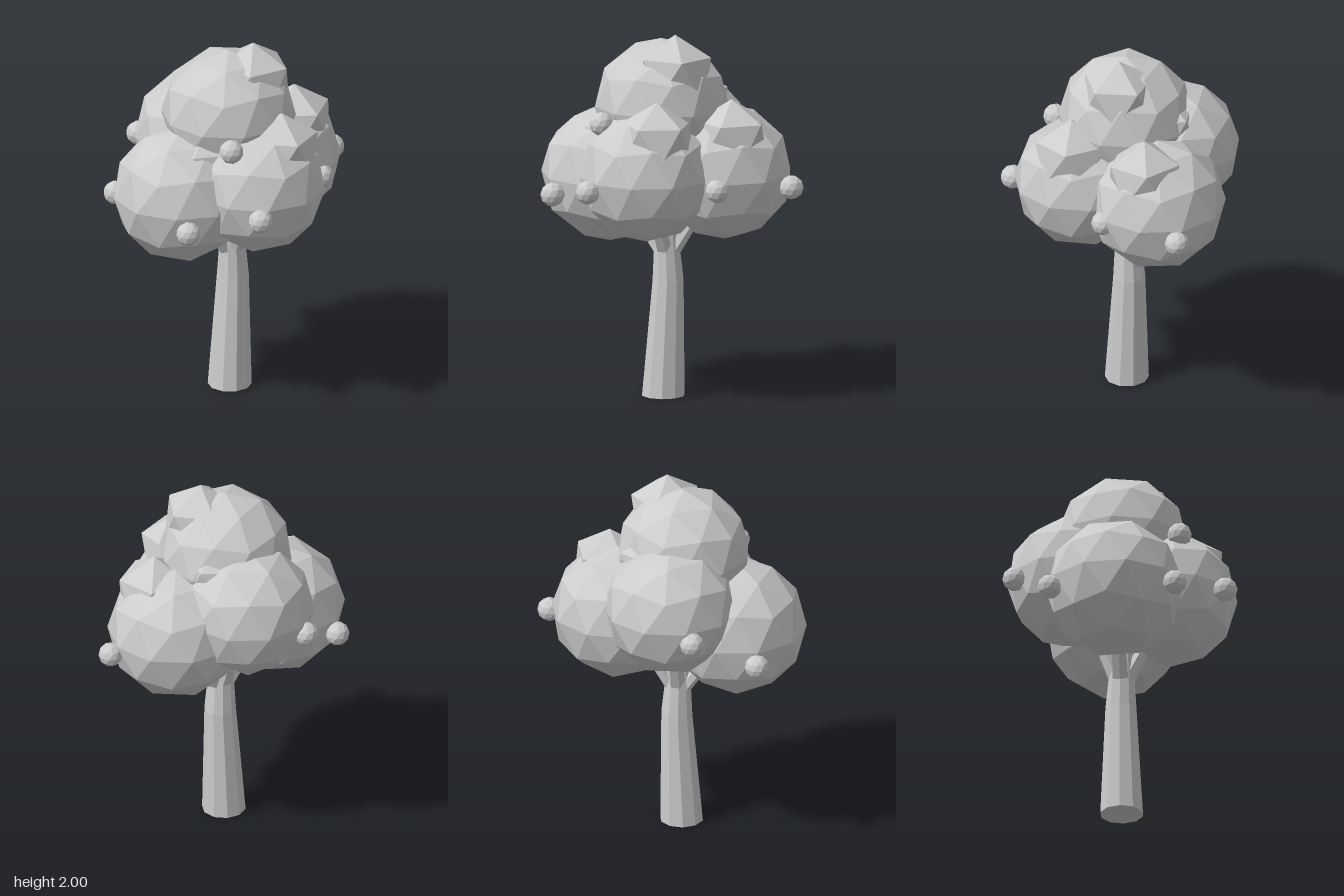
import * as THREE from 'three';

const clay = new THREE.MeshStandardMaterial({ color: 0xcccccc, flatShading: true });
clay.name = 'light grey';

// Icosphere with one corner pointing straight up, turned about y by an angle in degrees
function ico(name, radius, detail, turn, x, y, z) {
  const geo = new THREE.IcosahedronGeometry(radius, detail);
  geo.rotateZ(-Math.atan(2 / (1 + Math.sqrt(5))));
  geo.rotateY(-THREE.MathUtils.degToRad(turn));
  const mesh = new THREE.Mesh(geo, clay);
  mesh.name = name;
  mesh.position.set(x, y, z);
  return mesh;
}

// Closed tube through rings of [x, y, z, radius], with horizontal cross-sections
function taper(name, rings, sides) {
  const pos = [], idx = [];
  for (const [x, y, z, r] of rings) {
    for (let i = 0; i < sides; i++) {
      const a = (i / sides) * Math.PI * 2;
      pos.push(x + r * Math.cos(a), y, z + r * Math.sin(a));
    }
  }
  for (let k = 0; k < rings.length - 1; k++) {
    for (let i = 0; i < sides; i++) {
      const j = (i + 1) % sides;
      const a = k * sides + i, b = k * sides + j;
      idx.push(a, a + sides, b, b, a + sides, b + sides);
    }
  }
  const top = (rings.length - 1) * sides;
  for (let i = 1; i < sides - 1; i++) {
    idx.push(0, i, i + 1, top, top + i + 1, top + i);
  }
  const geo = new THREE.BufferGeometry();
  geo.setAttribute('position', new THREE.Float32BufferAttribute(pos, 3));
  geo.setIndex(idx);
  geo.computeVertexNormals();
  const mesh = new THREE.Mesh(geo, clay);
  mesh.name = name;
  return mesh;
}

// Foliage clumps: centre, radius, turn, centre of the angular tuft on top
const clumps = [
  { name: 'left', c: [0.275, 1.24, -0.08], r: 0.37, turn: 14, tuft: [0.356, 1.445, 0.016] },
  { name: 'right', c: [-0.36, 1.195, -0.02], r: 0.373, turn: 4, tuft: [-0.26, 1.385, 0.08] },
  { name: 'front', c: [-0.045, 1.255, 0.25], r: 0.36, turn: 27, tuft: [0.05, 1.465, 0.33] },
  { name: 'back', c: [-0.055, 1.38, -0.27], r: 0.362, turn: -28, tuft: [0.05, 1.565, -0.17] },
  { name: 'top', c: [-0.06, 1.595, -0.01], r: 0.363, turn: -14, tuft: [0.05, 1.783, 0.065] },
];

const fruits = [
  [-0.557, 1.125, 0.32], [-0.558, 1.125, -0.354], [-0.256, 1.21, 0.565],
  [0.367, 1.205, 0.25], [0.667, 1.185, -0.07], [-0.256, 1.32, -0.57],
  [-0.274, 1.535, 0.32],
];

export function createModel() {
  const tree = new THREE.Group();
  tree.name = 'tree';

  // Trunk, leaning slightly
  tree.add(taper('trunk', [
    [-0.05, 0, -0.012, 0.118],
    [-0.025, 0.63, -0.018, 0.086],
    [-0.035, 0.98, -0.01, 0.058],
    [-0.045, 1.3, -0.01, 0.045],
  ], 10));

  // Branches reaching into the outer clumps
  for (const { name, c } of clumps.slice(0, 4)) {
    const s = [-0.03, 0.74, -0.015];
    const at = (t) => s.map((v, i) => v + (c[i] - v) * t);
    tree.add(taper(name + 'Branch', [[...at(0), 0.05], [...at(0.7), 0.035]], 6));
  }

  // Foliage
  for (const { name, c, r, turn, tuft } of clumps) {
    tree.add(ico(name + 'Foliage', r, 1, turn, ...c));
    tree.add(ico(name + 'Tuft', 0.217, 0, turn, ...tuft));
  }

  // Fruit
  for (const p of fruits) tree.add(ico('fruit', 0.066, 1, 0, ...p));

  return tree;
}
